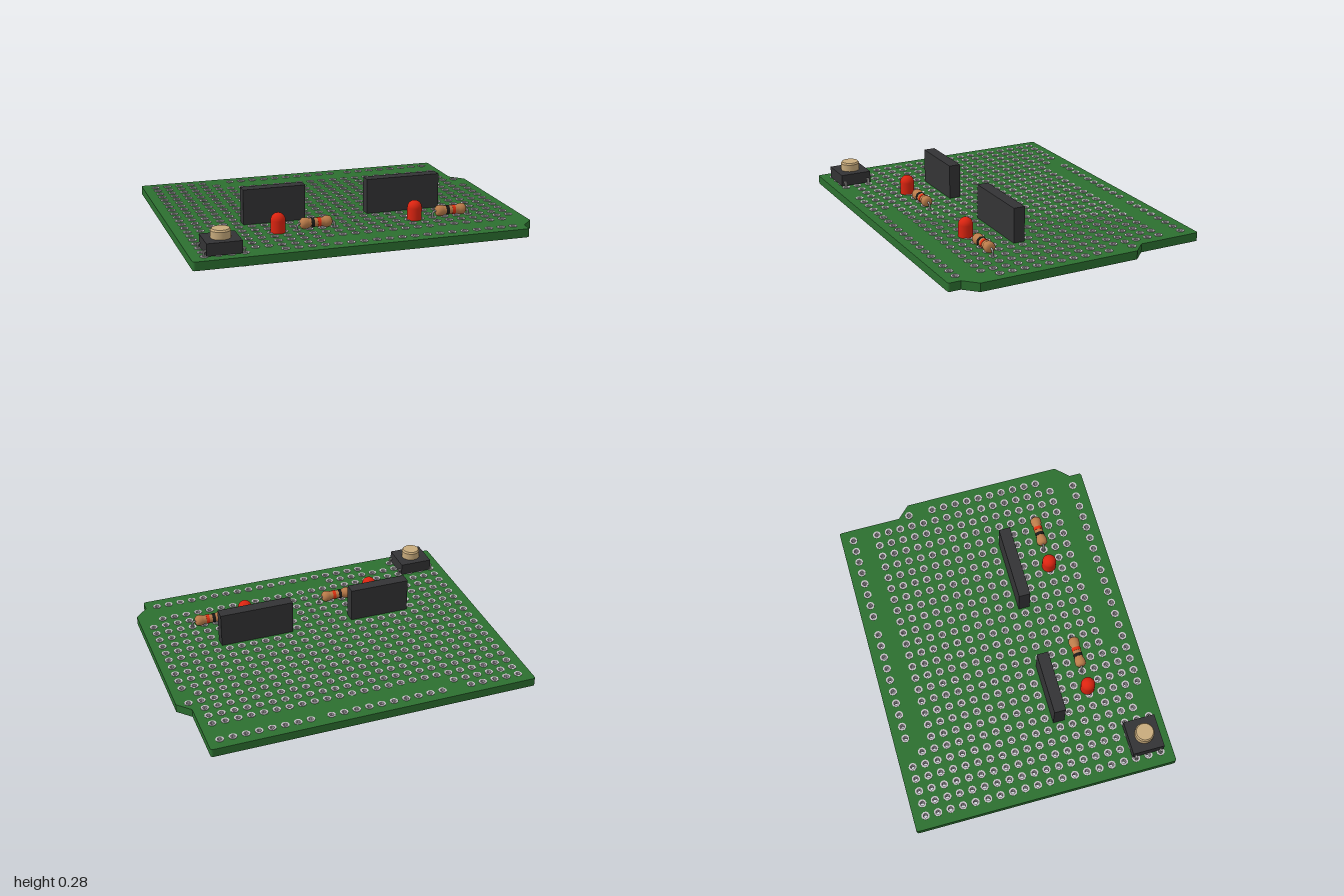
import * as THREE from 'three';
import { mergeGeometries } from 'three/addons/utils/BufferGeometryUtils.js';

const mat = (name, color) => {
  const m = new THREE.MeshStandardMaterial({ color });
  m.name = name;
  return m;
};

const TOP = 0.075, BOTTOM = 0.025;
const PITCH = 0.0741, X0 = -0.9225, Z0 = -0.706;
const colX = c => X0 + c * PITCH;
const rowZ = r => Z0 + r * PITCH;

// Runs of holes per row: [first column, count]
function holePositions() {
  const rows = { 0: [[0, 5], [6.38, 10], [17, 8]], 1: [[0, 6]], 18: [[0, 10]], 19: [[0, 4], [6, 19]] };
  for (let r = 2; r <= 17; r++) rows[r] = [[0, r === 5 || (r >= 7 && r <= 16) ? 26 : 25]];
  const out = [];
  for (const r in rows)
    for (const [first, count] of rows[r])
      for (let i = 0; i < count; i++) out.push([colX(first + i), rowZ(+r)]);
  return out;
}

export function createModel() {
  const model = new THREE.Group();
  const green = mat('board green', 0x2c7030);
  const silver = mat('pad silver', 0xc4bec4);
  const metal = mat('lead metal', 0xa8a8a4);
  const black = mat('housing black', 0x333335);
  const red = mat('light red', 0xdc2410);
  const tan = mat('button tan', 0xc8ab7c);
  const brown = mat('resistor brown', 0xbb7c4a);
  const bandBlack = mat('band black', 0x1c1a18);
  const bandRed = mat('band red', 0xe03010);

  const add = (parent, name, geometry, material, x = 0, y = 0, z = 0) => {
    const mesh = new THREE.Mesh(geometry, material);
    mesh.name = name;
    mesh.position.set(x, y, z);
    parent.add(mesh);
    return mesh;
  };
  const group = (name, x, y, z) => {
    const g = new THREE.Group();
    g.name = name;
    g.position.set(x, y, z);
    model.add(g);
    return g;
  };

  // Board outline with a stepped right edge, drilled for every pad
  const holes = holePositions();
  const c = 0.015;
  const outline = new THREE.Shape();
  outline.moveTo(-1 + c, -0.778);
  outline.lineTo(0.926 - c, -0.778);
  outline.quadraticCurveTo(0.926, -0.778, 0.926, -0.778 + c);
  outline.lineTo(0.926, -0.4);
  outline.lineTo(1, -0.325);
  outline.lineTo(1, 0.626);
  outline.lineTo(0.926, 0.702);
  outline.lineTo(0.926, 0.775 - c);
  outline.quadraticCurveTo(0.926, 0.775, 0.926 - c, 0.775);
  outline.lineTo(-1 + c, 0.775);
  outline.quadraticCurveTo(-1, 0.775, -1, 0.775 - c);
  outline.lineTo(-1, -0.778 + c);
  outline.quadraticCurveTo(-1, -0.778, -1 + c, -0.778);
  for (const [x, z] of holes) {
    const hole = new THREE.Path();
    hole.absarc(x, z, 0.019, 0, Math.PI * 2, true);
    outline.holes.push(hole);
  }
  const board = new THREE.ExtrudeGeometry(outline, { depth: TOP - BOTTOM, bevelEnabled: false, curveSegments: 4 });
  board.rotateX(Math.PI / 2);
  add(model, 'board', board, green, 0, TOP, 0);

  // Plated through-hole pads
  const lo = BOTTOM - 0.003, hi = TOP + 0.003;
  const profile = [[0.013, lo], [0.024, lo], [0.024, hi], [0.013, hi], [0.013, lo]];
  const pad = new THREE.LatheGeometry(profile.map(p => new THREE.Vector2(...p)), 10).toNonIndexed();
  pad.computeVertexNormals();
  add(model, 'pads', mergeGeometries(holes.map(([x, z]) => pad.clone().translate(x, 0, z))), silver);

  // Two upright header blocks
  for (const [x0, x1] of [[-0.59, -0.225], [0.15, 0.595]])
    add(model, 'headerBlock', new THREE.BoxGeometry(x1 - x0, 0.205, 0.068), black, (x0 + x1) / 2, TOP + 0.1025, 0.185);

  // Indicator lights: a cylinder with a domed top
  const r = 0.042;
  const bulb = [new THREE.Vector2(0, 0), new THREE.Vector2(r, 0), new THREE.Vector2(r, 0)];
  for (let i = 0; i <= 8; i++) {
    const a = (i / 8) * Math.PI / 2;
    bulb.push(new THREE.Vector2(r * Math.cos(a), 0.071 + r * Math.sin(a)));
  }
  bulb.splice(0, 2);
  for (const x of [-0.438, 0.374])
    add(model, 'indicatorLight', new THREE.LatheGeometry(bulb, 24), red, x, TOP, rowZ(15));

  // Resistors: waisted body, colour bands and bent leads
  const body = [[0, -0.092], [0.02, -0.091], [0.03, -0.082], [0.033, -0.068], [0.031, -0.05], [0.026, -0.04]];
  const bodyPoints = [...body, ...body.map(([x, y]) => [x, -y]).reverse()].map(p => new THREE.Vector2(...p));
  const bodyGeometry = new THREE.LatheGeometry(bodyPoints, 20).rotateZ(Math.PI / 2);
  const bandGeometry = new THREE.CylinderGeometry(0.0275, 0.0275, 0.019, 20).rotateZ(Math.PI / 2);
  for (const x of [colX(9.5), colX(20.5)]) {
    const resistor = group('resistor', x, 0, rowZ(15));
    add(resistor, 'resistorBody', bodyGeometry, brown, 0, 0.112, 0);
    add(resistor, 'blackBand', bandGeometry, bandBlack, -0.022, 0.112, 0);
    add(resistor, 'redBand', bandGeometry, bandRed, 0.016, 0.112, 0);
    for (const s of [-1, 1]) {
      const path = new THREE.CurvePath();
      const v = (px, py) => new THREE.Vector3(s * px, py, 0);
      path.add(new THREE.LineCurve3(v(0.08, 0.112), v(0.092, 0.112)));
      path.add(new THREE.QuadraticBezierCurve3(v(0.092, 0.112), v(0.111, 0.112), v(0.111, 0.088)));
      path.add(new THREE.LineCurve3(v(0.111, 0.088), v(0.111, 0)));
      add(resistor, 'resistorLead', new THREE.TubeGeometry(path, 16, 0.006, 8), metal);
    }
  }

  // Push button: square housing, round cap with a chamfered rim, four legs
  const button = group('pushButton', colX(1.5) - 0.004, 0, rowZ(18));
  add(button, 'buttonHousing', new THREE.BoxGeometry(0.197, 0.07, 0.187), black, 0, 0.115, 0);
  add(button, 'buttonCap', new THREE.CylinderGeometry(0.056, 0.056, 0.044, 28), tan, 0, 0.17, 0);
  add(button, 'buttonCapRim', new THREE.CylinderGeometry(0.049, 0.056, 0.01, 28), tan, 0, 0.197, 0);
  for (const sx of [-1, 1])
    for (const sz of [-1, 1]) {
      const z = sz * PITCH;
      add(button, 'buttonLegTop', new THREE.BoxGeometry(0.022, 0.008, 0.012), metal, sx * 0.1, 0.104, z);
      add(button, 'buttonLeg', new THREE.BoxGeometry(0.008, 0.108, 0.012), metal, sx * 0.111, 0.054, z);
    }
  return model;
}
